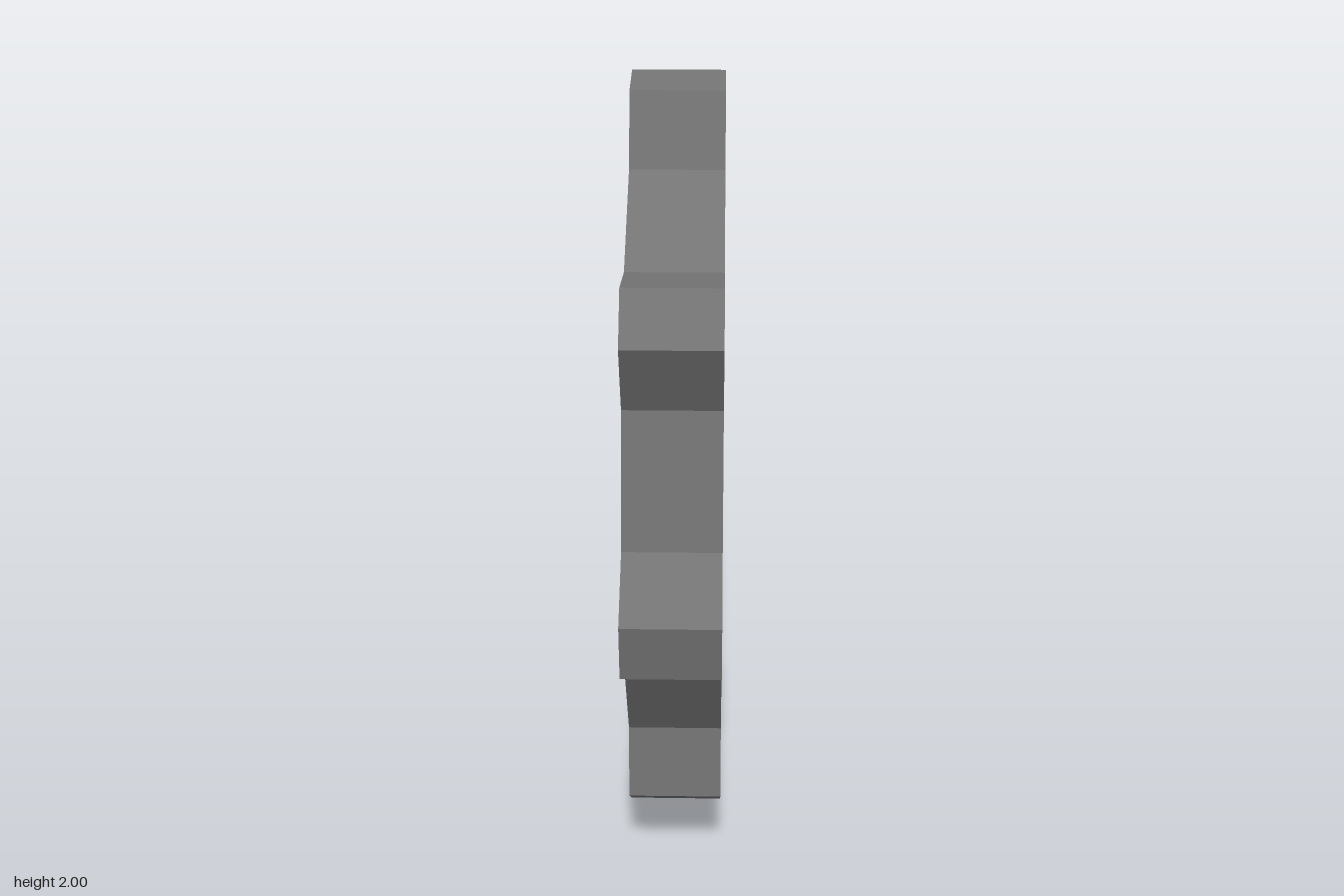
import * as THREE from 'three';

const STEP = Math.PI / 8; // everything sits on a 16-sided division

// Point on the wheel's plane: angle measured from the top towards the front (+z)
const polar = (steps, r) =>
  new THREE.Vector2(-Math.sin(steps * STEP) * r, Math.cos(steps * STEP) * r);

export function createModel() {
  const group = new THREE.Group();
  const material = new THREE.MeshStandardMaterial({ color: 0x737373, flatShading: true });

  // Extrude a flat outline along x, between two distances from the middle
  function addPlate(name, shape, from, to) {
    const geometry = new THREE.ExtrudeGeometry(shape, { depth: to - from, bevelEnabled: false });
    geometry.translate(0, 0, from);
    geometry.rotateY(Math.PI / 2);
    geometry.translate(0, 1, 0);
    const mesh = new THREE.Mesh(geometry, material);
    mesh.name = name;
    group.add(mesh);
  }

  // Toothed rim: eight tapered teeth around a 16-sided hole
  const outline = [];
  const hole = [];
  for (let i = 0; i < 16; i += 2) {
    outline.push(polar(i, 0.853), polar(i + 0.316, 1.008), polar(i + 0.684, 1.008), polar(i + 1, 0.853));
    hole.push(polar(i, 0.62), polar(i + 1, 0.62));
  }
  const rim = new THREE.Shape(outline);
  rim.holes.push(new THREE.Path(hole));
  addPlate('toothedRim', rim, -0.118, 0.118);

  // Hub with four spokes, recessed from the rim faces, and the raised hub caps
  const cross = [];
  const cap = [];
  for (let i = 0; i < 16; i += 4) {
    cross.push(polar(i, 0.187), polar(i + 1, 0.62), polar(i + 2, 0.62), polar(i + 3, 0.187));
    cap.push(polar(i - 0.8, 0.131), polar(i - 0.2, 0.131));
  }
  addPlate('spokes', new THREE.Shape(cross), -0.08, 0.08);
  addPlate('hubCapLeft', new THREE.Shape(cap), 0.08, 0.11);
  addPlate('hubCapRight', new THREE.Shape(cap), -0.11, -0.08);

  return group;
}
